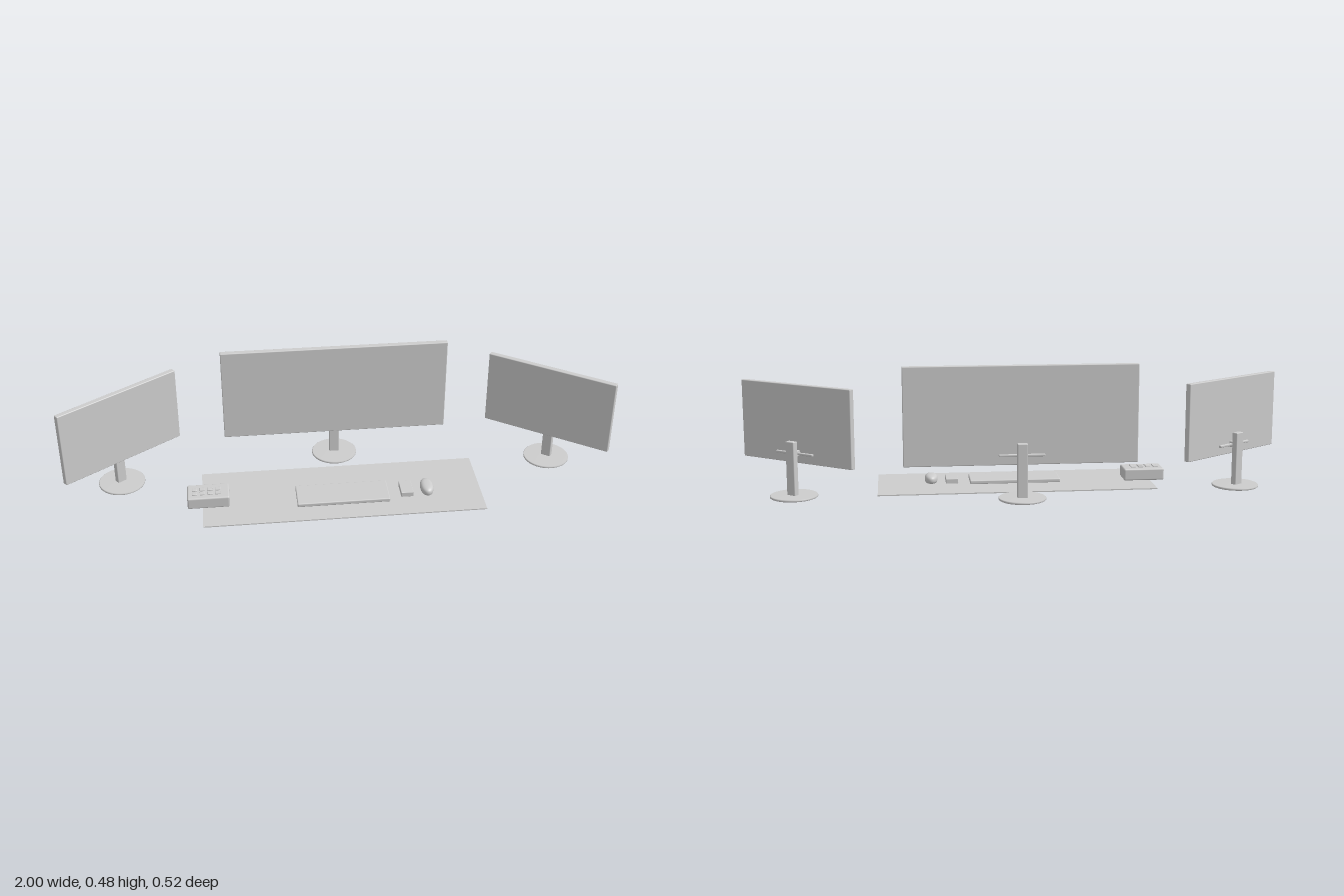
import * as THREE from 'three';
import { RoundedBoxGeometry } from 'three/addons/geometries/RoundedBoxGeometry.js';

const grey = new THREE.MeshStandardMaterial({ color: 0xcccccc });
grey.name = 'light grey';

function add(parent, name, geometry, x = 0, y = 0, z = 0) {
  const mesh = new THREE.Mesh(geometry, grey);
  mesh.name = name;
  mesh.position.set(x, y, z);
  parent.add(mesh);
  return mesh;
}

// Rounded block given by its lower and upper corners
function block(parent, name, [x0, y0, z0], [x1, y1, z1], radius) {
  const geometry = new RoundedBoxGeometry(x1 - x0, y1 - y0, z1 - z0, 3, radius);
  return add(parent, name, geometry, (x0 + x1) / 2, (y0 + y1) / 2, (z0 + z1) / 2);
}

// Monitor facing +z, with its panel centred on the group's origin
function monitor(name, width, top) {
  const group = new THREE.Group();
  group.name = name;
  block(group, 'panel', [-width / 2, 0.124, -0.0105], [width / 2, top, 0.0105], 0.003);
  block(group, 'mountBar', [-0.083, 0.156, -0.025], [0.083, 0.165, -0.0145], 0.003);
  block(group, 'mountPlate', [-0.017, 0.15, -0.026], [0.017, 0.172, -0.009], 0.003);
  block(group, 'standPost', [-0.0185, 0.008, -0.047], [0.0185, 0.2065, -0.025], 0.003);
  // Thin round foot with softened rim
  const rim = [[0, 0.003], [0.083, 0.003], [0.0855, 0.005], [0.0855, 0.0095], [0.083, 0.0115], [0, 0.0115]];
  add(group, 'standBase', new THREE.LatheGeometry(rim.map(([x, y]) => new THREE.Vector2(x, y)), 48), 0, 0, -0.03)
    .material = grey;
  return group;
}

// Mouse: an ellipsoid squared off into a smooth pebble
function pebble(rx, ry, rz) {
  const geometry = new THREE.SphereGeometry(1, 32, 20);
  const p = geometry.attributes.position;
  const soften = (v, e) => Math.sign(v) * Math.abs(v) ** e;
  for (let i = 0; i < p.count; i++) {
    const x = p.getX(i), y = p.getY(i), z = p.getZ(i);
    const ring = Math.hypot(x, z);
    const spread = ring > 1e-6 ? soften(ring, 0.7) / ring : 0;
    p.setXYZ(i, x * spread * rx, soften(y, 0.8) * ry, soften(z * spread, 0.85) * rz);
  }
  geometry.computeVertexNormals();
  return geometry;
}

export function createModel() {
  const model = new THREE.Group();
  model.name = 'deskSetup';

  // Three monitors, the side ones turned inwards
  const centre = monitor('centreMonitor', 0.84, 0.481);
  centre.position.z = -0.146;
  model.add(centre);
  for (const side of [-1, 1]) {
    const wing = monitor(side < 0 ? 'rightMonitor' : 'leftMonitor', 0.493, 0.408);
    wing.position.set(side * 0.7935, 0, -0.03);
    wing.rotation.y = -side * THREE.MathUtils.degToRad(35.6);
    model.add(wing);
  }

  // Desk mat
  add(model, 'deskMat', new THREE.BoxGeometry(1.026, 0.004, 0.331), 0, 0.003, 0.0935);

  // Keyboard, small device and mouse
  block(model, 'keyboard', [-0.17, 0.004, 0.06], [0.17, 0.019, 0.179], 0.004);
  block(model, 'smallDevice', [0.214, 0.004, 0.078], [0.26, 0.023, 0.155], 0.002);
  add(model, 'mouse', pebble(0.024, 0.018, 0.045), 0.314, 0.018, 0.119);

  // Control box with two rows of four buttons
  block(model, 'controlBox', [-0.567, 0.004, 0.057], [-0.414, 0.049, 0.148], 0.006);
  for (const z of [0.093, 0.118]) {
    for (let i = 0; i < 4; i++) {
      const x = -0.54 + i * 0.0285;
      block(model, 'button', [x - 0.0095, 0.046, z - 0.009], [x + 0.0095, 0.053, z + 0.009], 0.002);
    }
  }
  return model;
}
